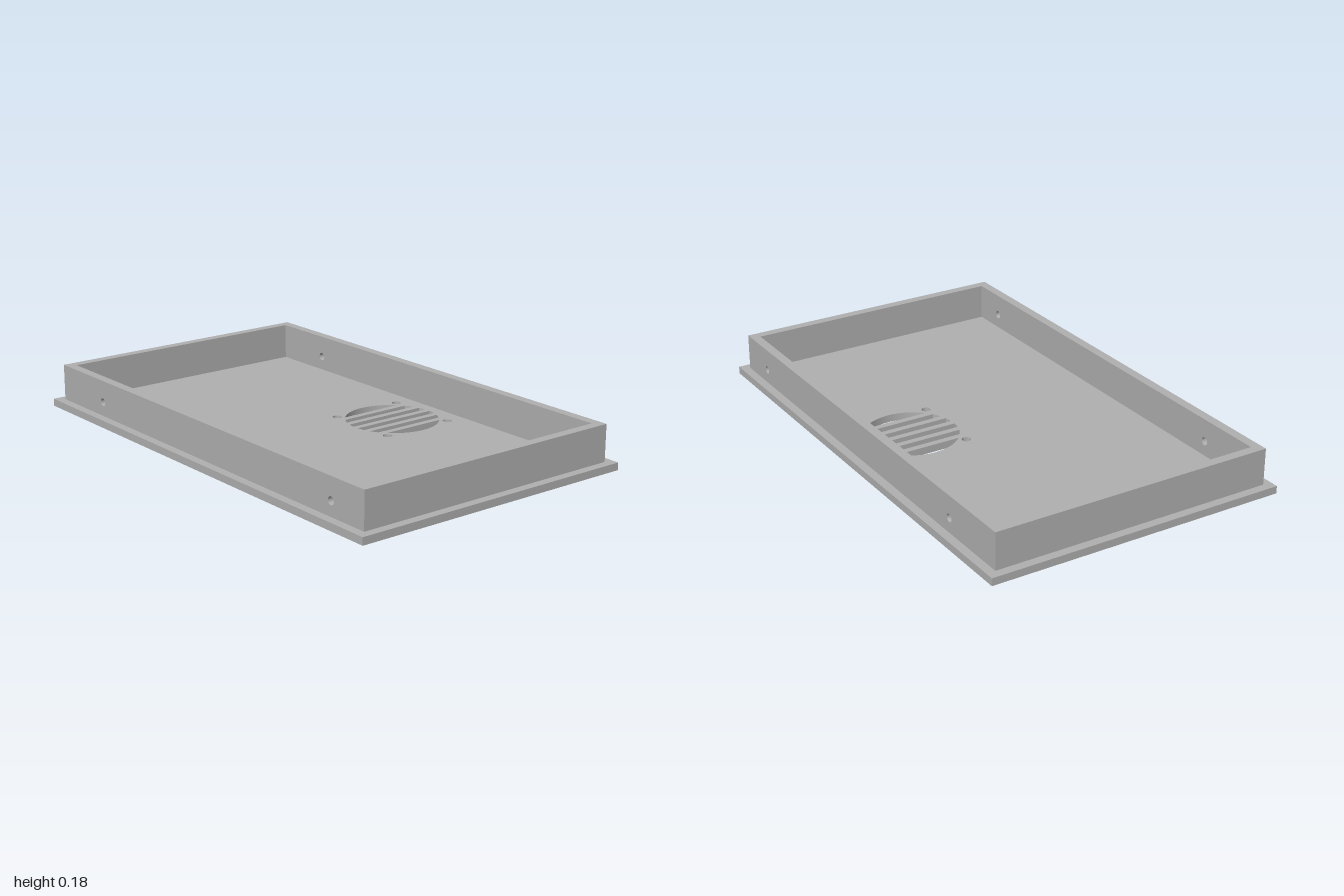
import * as THREE from 'three';

const HALF_X = 0.61, HALF_Z = 1, PLATE = 0.03;           // base plate
const WALL_X = 0.575, WALL_Z = 0.965, WALL = 0.038, TOP = 0.177; // rim
const FAN = { x: 0.307, z: 0.075, r: 0.187, pitch: 0.058, bar: 0.026, screw: 0.155 };

function rectShape(x0, y0, x1, y1) {
  const s = new THREE.Shape();
  s.moveTo(x0, y0).lineTo(x1, y0).lineTo(x1, y1).lineTo(x0, y1).closePath();
  return s;
}

function roundHole(x, y, r) {
  return new THREE.Path().absarc(x, y, r, 0, Math.PI * 2, true);
}

// Slice of the fan opening between two offsets from its centre
function fanSlot(a, b) {
  const t0 = Math.asin(a / FAN.r), t1 = Math.asin(b / FAN.r);
  const p = new THREE.Path();
  p.absarc(FAN.x, FAN.z, FAN.r, t0, t1, false);
  p.absarc(FAN.x, FAN.z, FAN.r, Math.PI - t1, Math.PI - t0, false);
  p.closePath();
  return p;
}

function extrude(shape, depth) {
  return new THREE.ExtrudeGeometry(shape, { depth, bevelEnabled: false, curveSegments: 24 });
}

export function createModel() {
  const group = new THREE.Group();
  const grey = new THREE.MeshStandardMaterial({ color: 0xb0b0b0 });
  grey.name = 'grey';

  const add = (name, geometry, x, y, z) => {
    const mesh = new THREE.Mesh(geometry, grey);
    mesh.name = name;
    mesh.position.set(x, y, z);
    group.add(mesh);
  };

  // Base plate with slotted fan grille and four screw holes
  const plate = rectShape(-HALF_X, -HALF_Z, HALF_X, HALF_Z);
  for (let i = 0; i < 6; i++) {
    const a = i === 0 ? -FAN.r : (i - 3) * FAN.pitch + FAN.bar / 2;
    const b = i === 5 ? FAN.r : (i - 2) * FAN.pitch - FAN.bar / 2;
    plate.holes.push(fanSlot(a, b));
  }
  for (const sx of [-1, 1]) for (const sz of [-1, 1]) {
    plate.holes.push(roundHole(FAN.x + sx * FAN.screw, FAN.z + sz * FAN.screw, 0.018));
  }
  add('basePlate', extrude(plate, PLATE).rotateX(Math.PI / 2), 0, PLATE, 0);

  // Long side walls, each with two screw holes
  const side = rectShape(-WALL_Z, PLATE, WALL_Z, TOP);
  for (const z of [0.79, -0.665]) side.holes.push(roundHole(z, 0.088, 0.016));
  const sideGeometry = extrude(side, WALL).rotateY(-Math.PI / 2);
  add('leftWall', sideGeometry, WALL_X, 0, 0);
  add('rightWall', sideGeometry, -WALL_X + WALL, 0, 0);

  // Short end walls between the sides
  const height = TOP - PLATE;
  const endGeometry = new THREE.BoxGeometry(2 * (WALL_X - WALL), height, WALL);
  add('frontWall', endGeometry, 0, PLATE + height / 2, WALL_Z - WALL / 2);
  add('backWall', endGeometry, 0, PLATE + height / 2, -WALL_Z + WALL / 2);

  return group;
}
